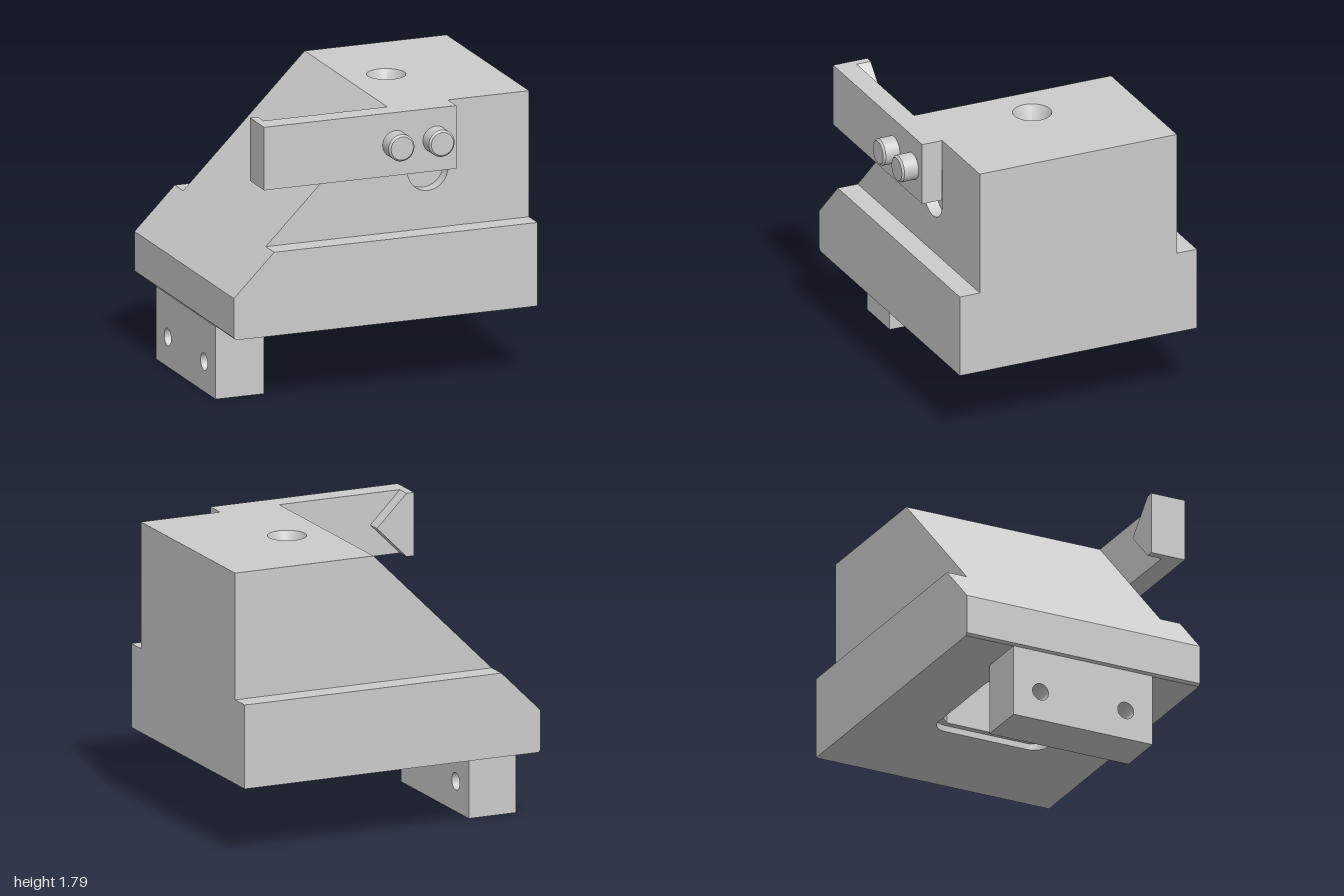
import * as THREE from 'three';
import { mergeGeometries, toCreasedNormals } from 'three/addons/utils/BufferGeometryUtils.js';

const grey = new THREE.MeshStandardMaterial({ color: 0xcccccc });
const V2 = (p) => new THREE.Vector2(p[0], p[1]);

function fromTriangles(values) {
  const g = new THREE.BufferGeometry();
  g.setAttribute('position', new THREE.Float32BufferAttribute(values, 3));
  return g;
}

// Flat panel: 2D outline (with holes) placed in space by map(a, b)
function face(outline, map, flip = false, holes = []) {
  const shape = new THREE.Shape(outline.map(V2));
  shape.holes = holes.map((h) => new THREE.Path(h.map(V2)));
  const flat = new THREE.ShapeGeometry(shape).toNonIndexed().attributes.position;
  const out = [];
  for (let i = 0; i < flat.count; i += 3) {
    for (const k of flip ? [0, 2, 1] : [0, 1, 2]) out.push(...map(flat.getX(i + k), flat.getY(i + k)));
  }
  return fromTriangles(out);
}

// Band of quads joining two closed 3D loops
function wall(a, b) {
  const out = [];
  a.forEach((p, i) => {
    const j = (i + 1) % a.length;
    out.push(...p, ...a[j], ...b[j], ...p, ...b[j], ...b[i]);
  });
  return fromTriangles(out);
}

const rect = (a0, a1, b0, b1) => [[a0, b0], [a1, b0], [a1, b1], [a0, b1]];

// Rectangle with rounded corners (seg = 1 gives chamfers)
function roundLoop(a0, a1, b0, b1, r, seg) {
  const pts = [];
  const centres = [[a1 - r, b1 - r], [a0 + r, b1 - r], [a0 + r, b0 + r], [a1 - r, b0 + r]];
  centres.forEach(([a, b], q) => {
    for (let i = 0; i <= seg; i++) {
      const t = (q + i / seg) * Math.PI / 2;
      pts.push([a + r * Math.cos(t), b + r * Math.sin(t)]);
    }
  });
  return pts;
}

function circle(a, b, r, n = 48) {
  return Array.from({ length: n }, (_, i) => {
    const t = (i / n) * Math.PI * 2;
    return [a + r * Math.cos(t), b + r * Math.sin(t)];
  });
}

function lathe(points) {
  return toCreasedNormals(new THREE.LatheGeometry(points.map(V2), 48), 0.4);
}

export function createModel() {
  const model = new THREE.Group();
  const add = (name, geometry, parent = model) => {
    const mesh = new THREE.Mesh(geometry, grey);
    mesh.name = name;
    parent.add(mesh);
    return mesh;
  };

  // Main levels: base, ledge, top; wide and narrow depths
  const Y0 = 0.46, Y1 = 0.99, Y2 = 1.79;
  const F = 0.745, B = -0.855, f = 0.61, b = -0.72;
  const XL = -0.735, XT = 0.065, C = 0.015;
  const tee = (v0, v1, v2) => [[B, v0], [F, v0], [F, v1], [f, v1], [f, v2], [b, v2], [b, v1], [B, v1]];
  const atZ = (z) => (x, y) => [x, y, z];
  const atY = (y) => (x, z) => [x, y, z];

  const lower = [[-1 + C, Y0], [1, Y0], [1, Y1], [XL, Y1], [-1, 0.725], [-1, Y0 + C]];
  const upper = [[XL, Y1], [1, Y1], [1, Y2], [XT, Y2]];

  // Round-ended slot in the front, partly behind the arm
  const slot = [[0.466, 1.6], [0.2, 1.6]];
  for (let i = 0; i <= 24; i++) {
    const t = Math.PI * (1 + i / 24);
    slot.push([0.333 + 0.133 * Math.cos(t), 1.363 + 0.133 * Math.sin(t)]);
  }
  const slotAt = (z) => slot.map(([x, y]) => [x, y, z]);

  // Opening in the underside and the cavity above it
  const rim = roundLoop(-0.52, 0.3, -0.43, 0.33, 0.1, 8);
  const mouth = roundLoop(-0.48, 0.26, -0.4, 0.3, 0.06, 1);
  const level = (loop, y) => loop.map(([x, z]) => [x, y, z]);
  const roof = mouth.map(([x, z]) => [x, x + 1.18, z]);
  const YR = Y0 + 0.04;

  const body = mergeGeometries([
    face(lower, atZ(F)),
    face(lower, atZ(B), true),
    face(upper, atZ(f), false, [slot]),
    face(upper, atZ(b), true),
    face(tee(Y0, Y1, Y2), (z, y) => [1, y, z], true),
    face(tee(-1, XL, XT), (z, x) => [x, x + 1.725, z]),
    face(rect(B, F, Y0 + C, 0.725), (z, y) => [-1, y, z]),
    face(rect(B, F, Y0, Y0 + C), (z, y) => [-1 + C - (y - Y0), y, z]),
    face(rect(XL, 1, f, F), atY(Y1), true),
    face(rect(XL, 1, B, b), atY(Y1), true),
    face(rect(XT, 1, b, f), atY(Y2), true, [circle(0.333, -0.06, 0.12)]),
    face(rect(-1 + C, 1, B, F), atY(Y0), false, [rim]),
    wall(slotAt(f), slotAt(f - 0.08)),
    face(slot, atZ(f - 0.08)),
    wall(level(rim, Y0), level(rim, YR)),
    face(rim, atY(YR), false, [mouth]),
    wall(level(mouth, YR), roof),
    wall(roof, roof.map(() => [-0.11, 1.07, -0.05])),
  ]);
  add('body', toCreasedNormals(body, 0.4));

  // Countersunk blind hole in the top
  add('topHole', lathe([[0.12, 0], [0.08, -0.1], [0.07, -0.1], [0.07, -0.17], [0, -0.22]]))
    .position.set(0.333, Y2, -0.06);

  // Arm with a pointed hook at its free end
  const arm = new THREE.Group();
  arm.name = 'arm';
  model.add(arm);
  add('armBar', new THREE.BoxGeometry(1.265, 0.4, F - f), arm).position.set(-0.1675, 1.59, (F + f) / 2);
  const hook = new THREE.Shape([[-0.8, 1.39], [-0.75, 1.39], [-0.55, 1.59], [-0.75, 1.79], [-0.8, 1.79]].map(V2));
  add('armHook', new THREE.ExtrudeGeometry(hook, { depth: f - 0.515, bevelEnabled: false }), arm).position.z = 0.515;

  // Screw heads on the arm
  for (const x of [0.065, 0.33]) {
    const screw = add('screwHead', lathe([[0.085, 0], [0.085, 0.095], [0.073, 0.108], [0, 0.108]]), arm);
    screw.rotation.x = Math.PI / 2;
    screw.position.set(x, 1.59, F);
  }

  // Mounting foot with two cross holes
  const foot = new THREE.Shape(rect(-0.53, 0.425, 0, Y0).map(V2));
  foot.holes = [0.24, -0.345].map((z) => new THREE.Path(circle(z, 0.19, 0.055, 32).map(V2)));
  const footGeo = new THREE.ExtrudeGeometry(foot, { depth: 0.32, bevelEnabled: false });
  footGeo.rotateY(-Math.PI / 2).translate(-0.67, 0, 0);
  add('foot', toCreasedNormals(footGeo, 0.4));

  return model;
}
